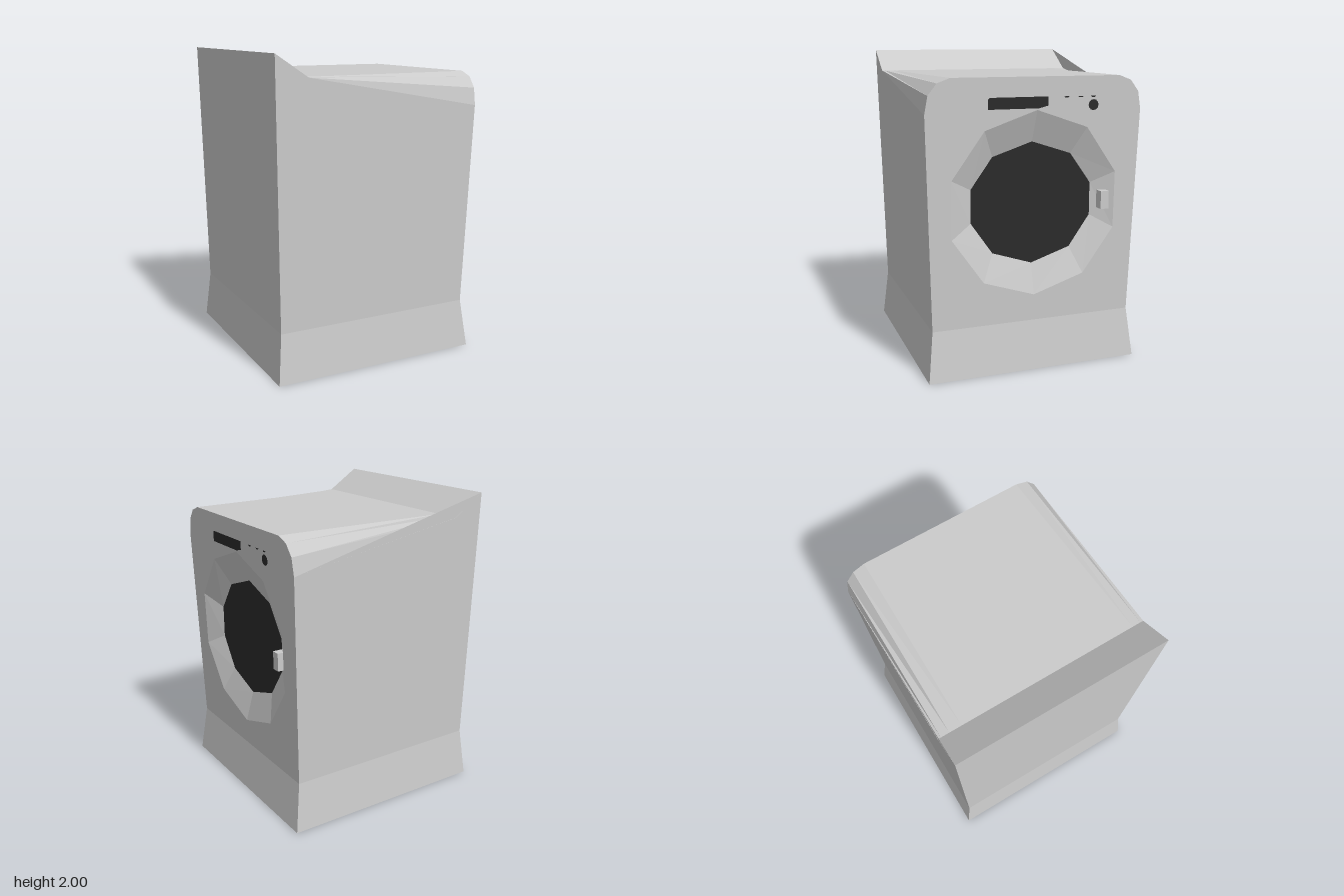
import * as THREE from 'three';

const grey = new THREE.MeshStandardMaterial({ color: 0xcccccc, flatShading: true });
const dark = new THREE.MeshStandardMaterial({ color: 0x2b2b2b, flatShading: true });

// Depth of the slightly leaning front panel and of the flared kick panel
const frontX = (y) => 0.66 + 0.026 * (y - 0.32);
const kickX = (y) => 0.7 - 0.125 * y;

const vec2 = (list) => list.map(([u, v]) => new THREE.Vector2(u, v));

// Complete a half outline (right half, top to bottom) by mirroring it
const mirrored = (half) => [...half, ...half.slice(1, -1).reverse().map(([u, v]) => [-u, v])];

// Flat polygons, corners anticlockwise from outside
function polygons(faces) {
  const pos = [];
  for (const f of faces)
    for (let i = 1; i < f.length - 1; i++) pos.push(...f[0], ...f[i], ...f[i + 1]);
  const g = new THREE.BufferGeometry();
  g.setAttribute('position', new THREE.Float32BufferAttribute(pos, 3));
  g.computeVertexNormals();
  return g;
}

// Outline drawn as seen from the front, laid onto the depth given by depth(y)
function frontPanel(outline, depth, hole) {
  const shape = new THREE.Shape(vec2(outline));
  if (hole) shape.holes.push(new THREE.Path(vec2(hole)));
  const g = new THREE.ShapeGeometry(shape);
  const p = g.attributes.position;
  for (let i = 0; i < p.count; i++) {
    const u = p.getX(i), y = p.getY(i);
    p.setXYZ(i, depth(y), y, -u);
  }
  g.computeVertexNormals();
  return g;
}

const disc = (u, v, r, n) => Array.from({ length: n }, (_, i) => {
  const a = (i / n) * Math.PI * 2;
  return [u + r * Math.cos(a), v + r * Math.sin(a)];
});

export function createModel() {
  const model = new THREE.Group();
  const add = (name, geometry, material = grey) => {
    const mesh = new THREE.Mesh(geometry, material);
    mesh.name = name;
    model.add(mesh);
    return mesh;
  };

  // Rounded upper corner: [half width, height] at the front, flattening to the rear
  const corner = [[0.7, 1.65], [0.68, 1.76], [0.625, 1.83], [0.545, 1.86]];
  const topY = 1.86, rearX = -0.49;

  // Side walls with flared foot, and the tapering corner bands
  for (const s of [1, -1]) {
    const faces = [
      [[-0.7, 0, 0.7], [0.7, 0, 0.7], [0.66, 0.32, 0.665], [-0.67, 0.32, 0.665]],
      [[rearX, topY, 0.7], [-0.7, 2, 0.7], [-0.67, 0.32, 0.665], [0.66, 0.32, 0.665],
        [frontX(1.65), 1.65, 0.7]],
    ];
    for (let i = 0; i < 3; i++) {
      const [za, ya] = corner[i], [zb, yb] = corner[i + 1];
      faces.push([[rearX, topY, za], [frontX(ya), ya, za], [frontX(yb), yb, zb], [rearX, topY, zb]]);
    }
    const side = faces.map((f) => {
      const m = f.map(([x, y, z]) => [x, y, z * s]);
      return s > 0 ? m : m.reverse();
    });
    add(s > 0 ? 'leftSideWall' : 'rightSideWall', polygons(side));
  }

  // Top, raised rear ledge, back and base
  const fx = frontX(topY);
  add('top', polygons([[[rearX, topY, 0.545], [fx, topY, 0.545], [fx, topY, -0.545], [rearX, topY, -0.545]]]));
  add('rearLedge', polygons([[[-0.7, 2, 0.7], [rearX, topY, 0.7], [rearX, topY, -0.7], [-0.7, 2, -0.7]]]));
  add('back', polygons([
    [[-0.7, 0, -0.7], [-0.7, 0, 0.7], [-0.67, 0.32, 0.665], [-0.67, 0.32, -0.665]],
    [[-0.67, 0.32, -0.665], [-0.67, 0.32, 0.665], [-0.7, 2, 0.7], [-0.7, 2, -0.7]],
  ]));
  add('base', polygons([[[-0.7, 0, -0.7], [0.7, 0, -0.7], [0.7, 0, 0.7], [-0.7, 0, 0.7]]]));

  // Ten-sided door opening and the glass sunk into it
  const outer = mirrored([[0, 1.66], [0.335, 1.545], [0.54, 1.255], [0.54, 0.89], [0.335, 0.6], [0, 0.49]]);
  const inner = mirrored([[0, 1.46], [0.26, 1.375], [0.4, 1.18], [0.4, 0.97], [0.26, 0.77], [0, 0.685]]);
  const glassX = 0.61;

  // Front panel and kick panel, meeting in a shallow V
  const upperRight = [...corner].reverse();
  const upperLeft = corner.map(([u, v]) => [-u, v]);
  add('frontPanel', frontPanel(
    [...upperRight, [0.665, 0.32], [0, 0.2], [-0.665, 0.32], ...upperLeft],
    (y) => (y < 0.3 ? kickX(y) : frontX(y)), outer));
  add('kickPanel', frontPanel([[-0.7, 0], [0.7, 0], [0.665, 0.32], [0, 0.2], [-0.665, 0.32]], kickX));

  // Sloping door surround
  const ring = outer.map((o, i) => {
    const j = (i + 1) % outer.length;
    const rim = ([u, v]) => [frontX(v), v, -u];
    const seat = ([u, v]) => [glassX, v, -u];
    return [seat(inner[i]), seat(inner[j]), rim(outer[j]), rim(o)];
  });
  add('doorSurround', polygons(ring));
  add('doorGlass', frontPanel(inner, () => glassX), dark);

  // Door handle
  const handle = add('doorHandle', new THREE.BoxGeometry(0.065, 0.115, 0.055));
  handle.position.set(0.662, 1.075, -0.468);

  // Display, indicator lights and dial, lying just proud of the front panel
  const proud = (y) => frontX(y) + 0.002;
  add('display', frontPanel(
    [[-0.315, 1.67], [0.01, 1.67], [0.07, 1.685], [0.07, 1.74], [-0.305, 1.74], [-0.315, 1.73]], proud), dark);
  for (const u of [0.19, 0.285, 0.37])
    add('indicatorLight', frontPanel(
      [[u - 0.018, 1.738], [u - 0.01, 1.73], [u + 0.01, 1.73], [u + 0.018, 1.738]], proud), dark);
  add('dial', frontPanel(disc(0.372, 1.682, 0.034, 12), proud), dark);

  return model;
}
